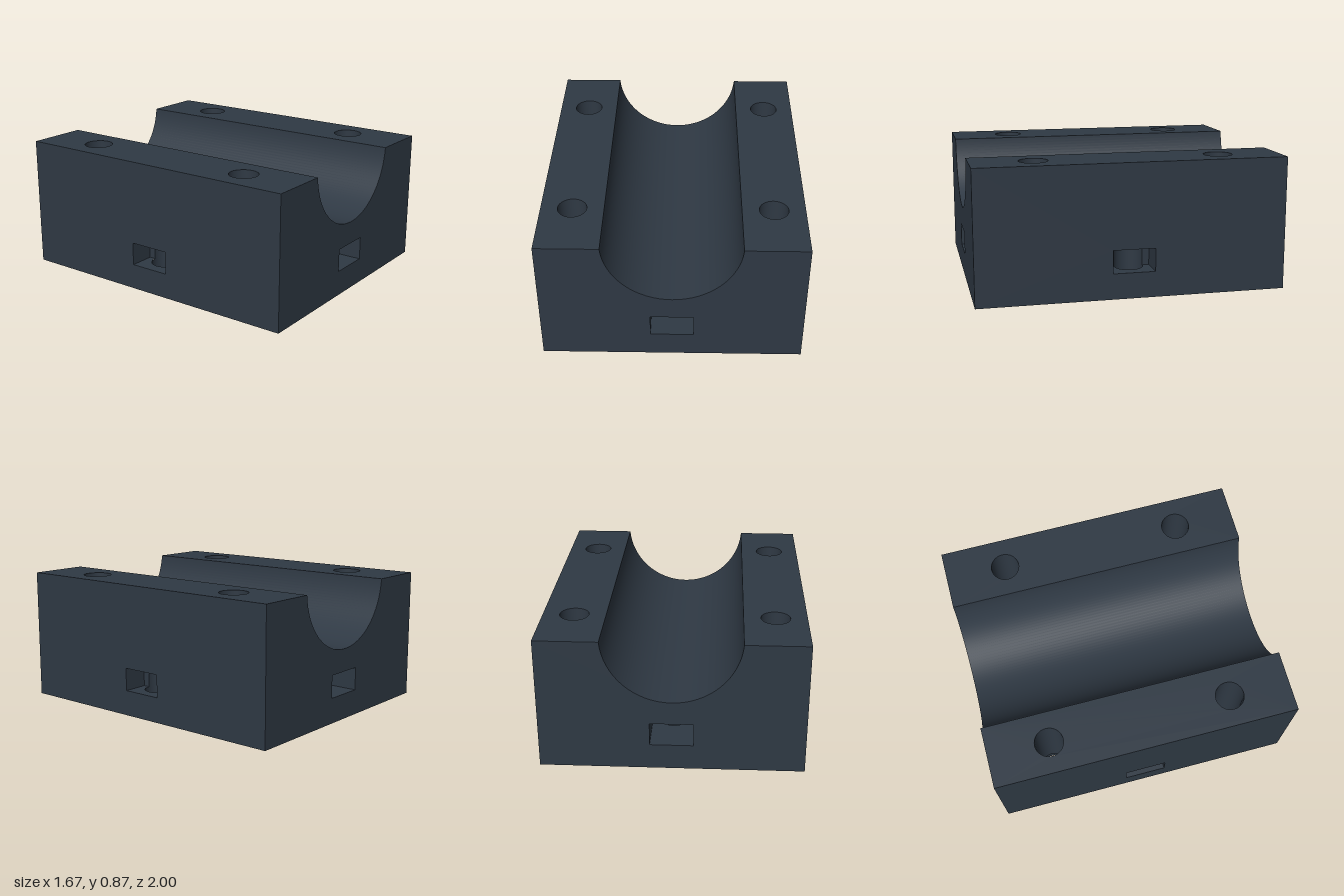
import * as THREE from 'three';

const W = 0.833, H = 0.867, L = 1;            // half width, height, half length
const GROOVE_R = 0.433, GROOVE_Y = 0.9;       // round channel
const BOLT_R = 0.093, BOLT_X = 0.633, BOLT_Z = 0.6;
const HEX_R = 0.15, HEX_TOP = 0.2;            // hexagonal nut recess
const SLOT_W = 0.137, SLOT_Y0 = 0.167, SLOT_Y1 = 0.317, SCREW = 0.667, SCREW_TOP = 0.4;

export function createModel() {
  const model = new THREE.Group();
  const slate = new THREE.MeshStandardMaterial({ color: 0x2f3944 });
  slate.name = 'dark slate';

  const add = (parent, name, geo, x = 0, y = 0, z = 0) => {
    const mesh = new THREE.Mesh(geo, slate);
    mesh.name = name;
    mesh.position.set(x, y, z);
    parent.add(mesh);
    return mesh;
  };
  const poly = pts => new THREE.Shape(pts.map(p => new THREE.Vector2(...p)));
  const rect = (x0, y0, x1, y1) => poly([[x0, y0], [x1, y0], [x1, y1], [x0, y1]]);
  const circle = (x, y, r) => new THREE.Path().absarc(x, y, r, 0, Math.PI * 2);
  const hexagon = (x, z) => poly(Array.from({ length: 6 }, (_, i) => {
    const a = i * Math.PI / 3;
    return [x + HEX_R * Math.sin(a), z + HEX_R * Math.cos(a)];
  }));
  const face = shape => new THREE.ShapeGeometry(shape, 16);
  const faceDown = shape => face(shape).rotateX(Math.PI / 2);   // shape y becomes z
  const faceUp = shape => face(shape).rotateX(-Math.PI / 2);    // shape y becomes -z

  // Open tube wall seen from the inside
  const bore = (r, y0, y1, sides = 32, start = 0, length = Math.PI * 2) => {
    let g = new THREE.CylinderGeometry(r, r, y1 - y0, sides, 1, true, start, length);
    g.translate(0, (y0 + y1) / 2, 0);
    const idx = g.index.array;
    for (let i = 0; i < idx.length; i += 3) [idx[i], idx[i + 1]] = [idx[i + 1], idx[i]];
    const n = g.attributes.normal;
    for (let i = 0; i < n.count; i++) n.setXYZ(i, -n.getX(i), -n.getY(i), -n.getZ(i));
    if (sides === 6) {
      g = g.toNonIndexed();
      g.computeVertexNormals();
    }
    return g;
  };

  // Front and back faces with the channel cut and a slot opening
  const dip = Math.asin((GROOVE_Y - H) / GROOVE_R);
  const endShape = new THREE.Shape();
  endShape.moveTo(-W, 0);
  endShape.lineTo(W, 0);
  endShape.lineTo(W, H);
  endShape.absarc(0, GROOVE_Y, GROOVE_R, -dip, -Math.PI + dip, true);
  endShape.lineTo(-W, H);
  endShape.closePath();
  endShape.holes.push(rect(-SLOT_W, SLOT_Y0, SLOT_W, SLOT_Y1));
  add(model, 'frontFace', face(endShape), 0, 0, L);
  add(model, 'backFace', face(endShape).rotateY(Math.PI), 0, 0, -L);

  // Side faces and flat top strips
  const sideShape = rect(-L, 0, L, H);
  sideShape.holes.push(rect(-SLOT_W, SLOT_Y0, SLOT_W, SLOT_Y1));
  const lip = GROOVE_R * Math.cos(dip);
  for (const s of [1, -1]) {
    const side = s > 0 ? 'left' : 'right';
    add(model, side + 'Face', face(sideShape).rotateY(s * Math.PI / 2), s * W);
    const strip = s > 0 ? rect(lip, -L, W, L) : rect(-W, -L, -lip, L);
    for (const z of [-BOLT_Z, BOLT_Z]) strip.holes.push(circle(s * BOLT_X, z, BOLT_R));
    add(model, side + 'TopStrip', faceUp(strip), 0, H, 0);
  }

  // Round channel
  const half = Math.PI / 2 - dip;
  add(model, 'channel', bore(GROOVE_R, -L, L, 64, -half, 2 * half).rotateX(Math.PI / 2), 0, GROOVE_Y, 0);

  // Underside with nut recesses and screw holes
  const base = rect(-W, -L, W, L);
  for (const [x, z] of [[SCREW, 0], [-SCREW, 0], [0, SCREW], [0, -SCREW]]) {
    base.holes.push(circle(x, z, BOLT_R));
  }

  // Bolt holes at the corners, each ending in a hexagonal recess
  for (const x of [-BOLT_X, BOLT_X]) for (const z of [-BOLT_Z, BOLT_Z]) {
    base.holes.push(hexagon(x, z));
    const hole = new THREE.Group();
    hole.name = 'boltHole';
    hole.position.set(x, 0, z);
    const seat = hexagon(0, 0);
    seat.holes.push(circle(0, 0, BOLT_R));
    add(hole, 'nutRecessWall', bore(HEX_R, 0, HEX_TOP, 6));
    add(hole, 'nutSeat', faceDown(seat), 0, HEX_TOP, 0);
    add(hole, 'boltBore', bore(BOLT_R, HEX_TOP, H));
    model.add(hole);
  }
  add(model, 'underside', faceDown(base));

  // Nut slot opening towards local +z, crossed by a blind screw hole
  const slotPlan = (depth, s) => {
    const p = new THREE.Shape();
    p.moveTo(BOLT_R, 0);
    p.lineTo(SLOT_W, 0);
    p.lineTo(SLOT_W, s * depth);
    p.lineTo(-SLOT_W, s * depth);
    p.lineTo(-SLOT_W, 0);
    p.absarc(0, 0, BOLT_R, Math.PI, s > 0 ? 0 : 2 * Math.PI, s > 0);
    return p;
  };
  const nutSlot = (x, z, turn, depth) => {
    const slot = new THREE.Group();
    slot.name = 'nutSlot';
    slot.position.set(x, 0, z);
    slot.rotation.y = turn;
    add(slot, 'slotFloor', faceUp(slotPlan(depth, -1)), 0, SLOT_Y0, 0);
    add(slot, 'slotCeiling', faceDown(slotPlan(depth, 1)), 0, SLOT_Y1, 0);
    for (const s of [1, -1]) {
      const wall = face(rect(-depth / 2, SLOT_Y0, depth / 2, SLOT_Y1)).rotateY(-s * Math.PI / 2);
      add(slot, 'slotSide', wall, s * SLOT_W, 0, depth / 2);
      const [a, b] = s > 0 ? [BOLT_R, SLOT_W] : [-SLOT_W, -BOLT_R];
      add(slot, 'slotBack', face(rect(a, SLOT_Y0, b, SLOT_Y1)));
    }
    add(slot, 'lowerScrewBore', bore(BOLT_R, 0, SLOT_Y0));
    add(slot, 'middleScrewBore', bore(BOLT_R, SLOT_Y0, SLOT_Y1, 16, Math.PI / 2, Math.PI));
    add(slot, 'upperScrewBore', bore(BOLT_R, SLOT_Y1, SCREW_TOP));
    add(slot, 'screwBoreEnd', new THREE.CircleGeometry(BOLT_R, 32).rotateX(Math.PI / 2), 0, SCREW_TOP, 0);
    model.add(slot);
  };
  nutSlot(0, SCREW, 0, L - SCREW);
  nutSlot(0, -SCREW, Math.PI, L - SCREW);
  nutSlot(SCREW, 0, Math.PI / 2, W - SCREW);
  nutSlot(-SCREW, 0, -Math.PI / 2, W - SCREW);

  return model;
}
